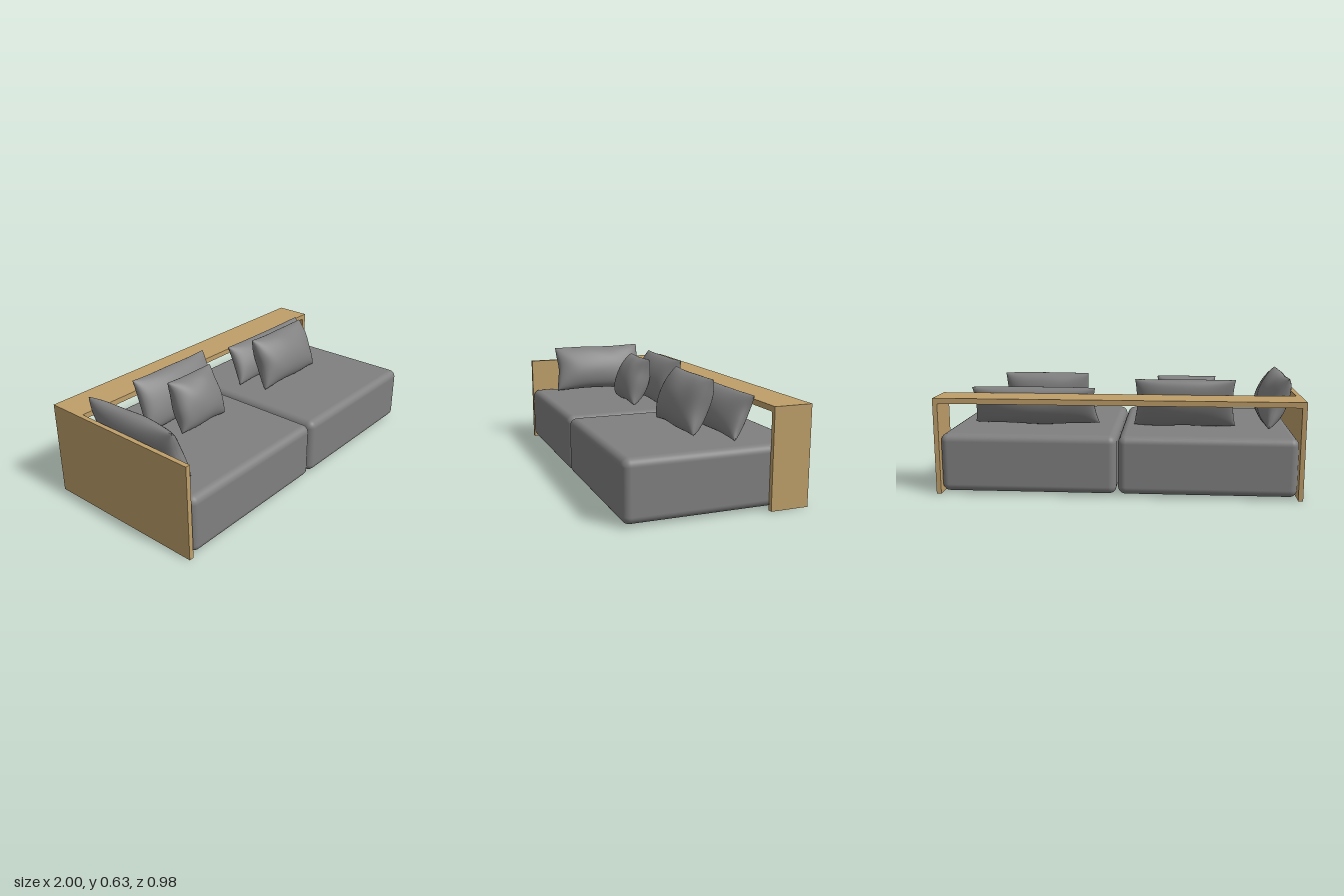
import * as THREE from 'three';
import { RoundedBoxGeometry } from 'three/addons/geometries/RoundedBoxGeometry.js';
import { mergeGeometries } from 'three/addons/utils/BufferGeometryUtils.js';

const wood = new THREE.MeshStandardMaterial({ color: 0xbf9f6a });
wood.name = 'wood';
const fabric = new THREE.MeshStandardMaterial({ color: 0x808080 });
fabric.name = 'grey fabric';

// Soft cushion: two bulging sheets meeting at a seam, with pinched sides and pointed corners
function pillowGeometry(w, h, t, seed) {
  const sheet = (side) => {
    const g = new THREE.PlaneGeometry(2, 2, 32, 32);
    const p = g.attributes.position;
    for (let i = 0; i < p.count; i++) {
      // crowd the rows towards the seam so the rim is round
      const u = Math.sin(p.getX(i) * Math.PI / 2);
      const v = Math.sin(p.getY(i) * Math.PI / 2);
      const a = Math.max(0, 1 - u * u), b = Math.max(0, 1 - v * v);
      const wave = 0.004 * Math.sin(5 * u + seed) * Math.cos(4 * v + 2 * seed);
      const x = w / 2 * u * (1 - 0.05 * b - 0.02 * v) + wave * b;
      const y = h / 2 * v * (1 - 0.03 * a) + wave * 0.7;
      const bulge = Math.pow(a, 0.38) * Math.pow(b, 0.5) * (1 - 0.08 * v);
      const crease = 1 + 0.06 * Math.sin(7 * u + 3 * v + seed) * (u * u + v * v) / 2;
      p.setXYZ(i, x, y, side * t / 2 * bulge * crease);
    }
    if (side < 0) {
      const idx = g.index.array;
      for (let i = 0; i < idx.length; i += 3) [idx[i], idx[i + 1]] = [idx[i + 1], idx[i]];
    }
    g.computeVertexNormals();
    return g;
  };
  return mergeGeometries([sheet(1), sheet(-1)]);
}

export function createModel() {
  const model = new THREE.Group();
  model.name = 'sofa';

  const add = (name, geometry, material, x, y, z) => {
    const mesh = new THREE.Mesh(geometry, material);
    mesh.name = name;
    mesh.position.set(x, y, z);
    model.add(mesh);
    return mesh;
  };

  // Wooden frame: long arm panel, short end panel, and the shelf bridging them
  add('longArmPanel', new THREE.BoxGeometry(0.026, 0.505, 0.975), wood, -0.987, 0.2525, -0.0025);
  add('longArmCap', new THREE.BoxGeometry(0.026, 0.03, 0.765), wood, -0.987, 0.52, 0.1025);
  add('shortEndPanel', new THREE.BoxGeometry(0.026, 0.505, 0.21), wood, 0.987, 0.2525, -0.385);
  add('backShelf', new THREE.BoxGeometry(2, 0.03, 0.21), wood, 0, 0.52, -0.385);

  // Two seat blocks, each on four small feet
  for (const side of [-1, 1]) {
    add(side < 0 ? 'rightSeat' : 'leftSeat',
      new RoundedBoxGeometry(0.968, 0.324, 0.978, 6, 0.042), fabric, side * 0.488, 0.174, 0);
    for (const x of [0.12, 0.855]) {
      for (const z of [-0.385, 0.385]) {
        add('foot', new THREE.CylinderGeometry(0.018, 0.018, 0.02, 20), fabric, side * x, 0.01, z);
      }
    }
  }

  // Cushions: name, width, height, thickness, centre, lean, turn
  const cushions = [
    ['armCushion', 0.61, 0.3, 0.17, [-0.882, 0.486, 0.033], 0.36, Math.PI / 2],
    ['rightBackCushion', 0.57, 0.3, 0.155, [-0.365, 0.478, -0.2], 0.38, 0],
    ['rightFrontCushion', 0.34, 0.295, 0.18, [-0.373, 0.478, -0.04], 0.36, 0],
    ['leftBackCushion', 0.72, 0.245, 0.155, [0.493, 0.454, -0.197], 0.47, 0],
    ['leftFrontCushion', 0.495, 0.31, 0.195, [0.437, 0.485, -0.047], 0.38, 0],
  ];
  cushions.forEach(([name, w, h, t, centre, lean, turn], i) => {
    const cushion = add(name, pillowGeometry(w, h, t, i * 1.7), fabric, ...centre);
    cushion.rotation.set(-lean, turn, 0, 'YXZ');
  });

  return model;
}
